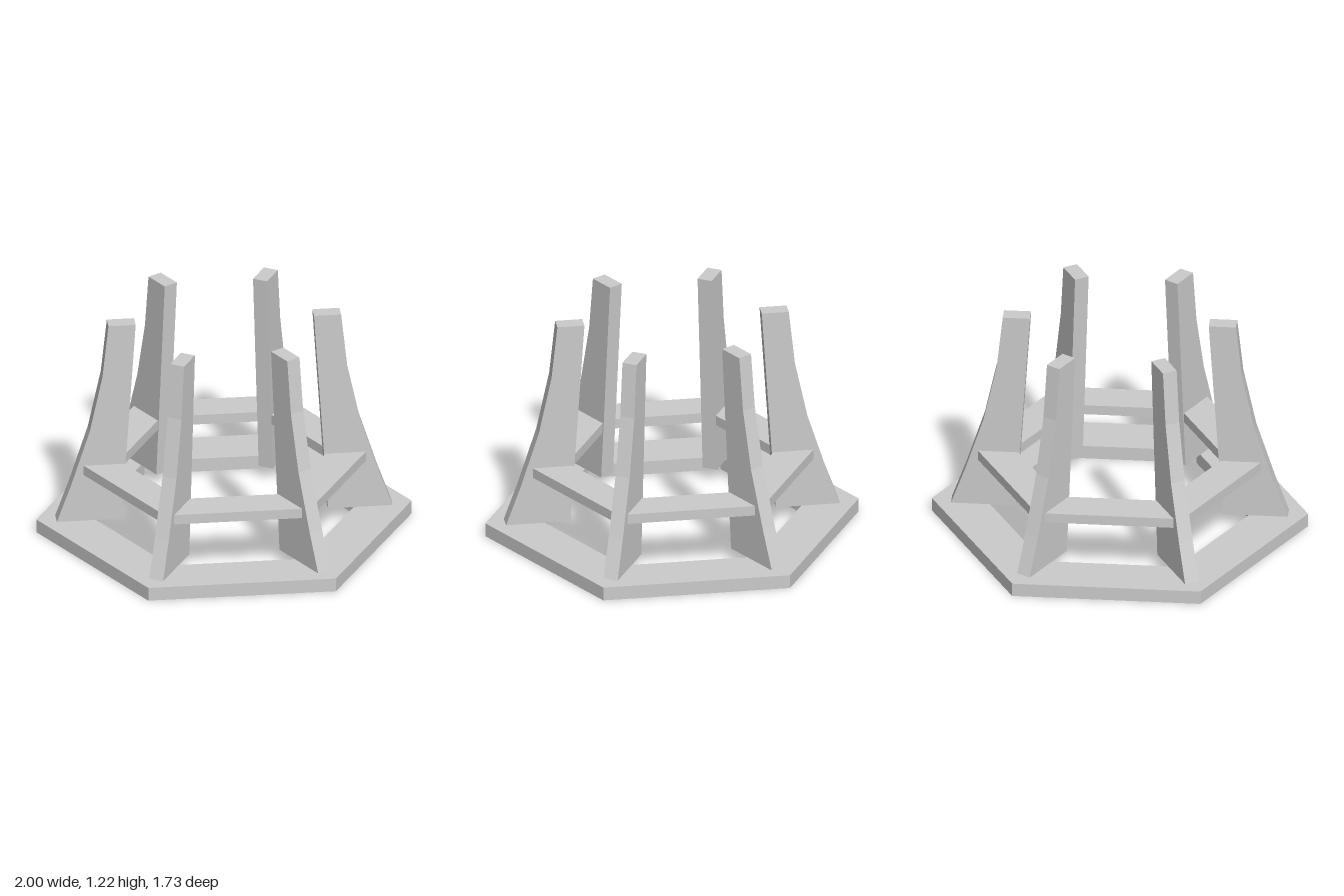
import * as THREE from 'three';

const material = new THREE.MeshStandardMaterial({ color: 0xcccccc, flatShading: true });

// Corners of a hexagon with two corners on the x axis
function hexagon(radius) {
  return Array.from({ length: 6 }, (_, i) => {
    const a = (i * Math.PI) / 3;
    return new THREE.Vector2(radius * Math.cos(a), radius * Math.sin(a));
  });
}

// Flat hexagonal ring standing between two heights
function hexRing(name, outer, inner, bottom, top) {
  const shape = new THREE.Shape(hexagon(outer));
  shape.holes.push(new THREE.Path(hexagon(inner)));
  const geometry = new THREE.ExtrudeGeometry(shape, { depth: top - bottom, bevelEnabled: false });
  geometry.rotateX(-Math.PI / 2).translate(0, bottom, 0);
  const mesh = new THREE.Mesh(geometry, material);
  mesh.name = name;
  return mesh;
}

export function createModel() {
  const group = new THREE.Group();
  group.name = 'hexagonalStand';

  group.add(hexRing('base', 1, 0.71, 0, 0.075));
  group.add(hexRing('rails', 0.775, 0.56, 0.345, 0.4));

  // Leg profile: straight inner edge, flared outer edge (radius, height)
  const profile = [
    [0.55, 0.075], [0.895, 0.075], [0.82, 0.285], [0.72, 0.6], [0.652, 0.92], [0.62, 1.22], [0.475, 1.22],
  ].map(([r, y]) => new THREE.Vector2(r, y));
  const thickness = 0.08;
  const legGeometry = new THREE.ExtrudeGeometry(new THREE.Shape(profile), { depth: thickness, bevelEnabled: false });
  legGeometry.translate(0, 0, -thickness / 2);

  // One leg on each corner
  for (let i = 0; i < 6; i++) {
    const leg = new THREE.Mesh(legGeometry, material);
    leg.name = `leg${i + 1}`;
    leg.rotation.y = (i * Math.PI) / 3;
    group.add(leg);
  }
  return group;
}
